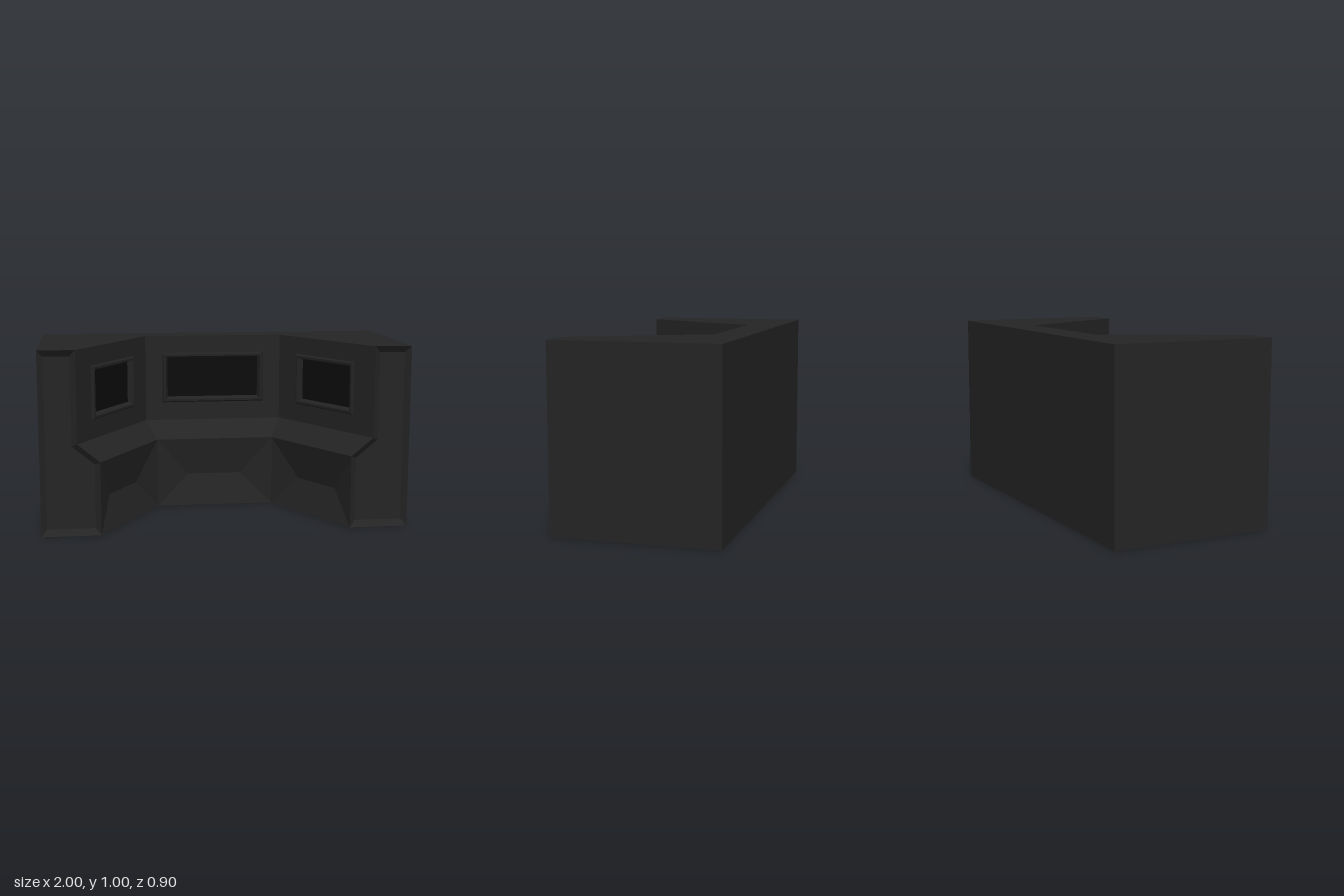
import * as THREE from 'three';

const V = (x, y, z) => new THREE.Vector3(x, y, z);

// Collects convex polygons (corners counter-clockwise from outside) into one mesh
class Faces {
  constructor() { this.p = []; }
  poly(pts) {
    for (let i = 1; i < pts.length - 1; i++) {
      const [a, b, c] = [pts[0], pts[i], pts[i + 1]];
      if (b.clone().sub(a).cross(c.clone().sub(a)).length() < 1e-7) continue;
      for (const v of [a, b, c]) this.p.push(v.x, v.y, v.z);
    }
    return this;
  }
  // strips of quads between successive rings
  loft(rings) {
    for (let r = 0; r < rings.length - 1; r++) {
      const a = rings[r], b = rings[r + 1], n = a.length;
      for (let i = 0; i < n; i++) {
        const j = (i + 1) % n;
        this.poly([a[i], a[j], b[j], b[i]]);
      }
    }
    return this;
  }
  mesh(name, color) {
    const g = new THREE.BufferGeometry();
    g.setAttribute('position', new THREE.Float32BufferAttribute(this.p, 3));
    g.computeVertexNormals();
    const m = new THREE.Mesh(g, new THREE.MeshStandardMaterial({ color, flatShading: true }));
    m.name = name;
    return m;
  }
}

const BODY = 0x242424, FRAME = 0x222222, SCREEN = 0x0c0c0c;

// Inner U outline [x, z]: upper wall and the lower, more forward wall
const UPPER = [[-0.8, 0.45], [-0.4, -0.255], [0.4, -0.255], [0.8, 0.45]];
const LOWER = [[-0.68, 0.45], [-0.34, -0.15], [0.34, -0.15], [0.68, 0.45]];
const at = ([x, z], y) => V(x, y, z);

// Flat U-shaped cap
function cap(path, y, down) {
  const f = new Faces();
  const [a, b, c, d] = path.map(p => at(p, y));
  const bl = V(-1, y, -0.45), br = V(1, y, -0.45), fl = V(-1, y, 0.45), fr = V(1, y, 0.45);
  for (const q of [[fl, a, b, bl], [bl, b, c, br], [fr, br, c, d]]) f.poly(down ? q.reverse() : q);
  return f;
}

// Rectangle on the wall p-q: along-wall range, height range, offset out of the wall
function wallRect(p, q, u0, u1, y0, y1, out = 0) {
  const o = at(p, 0), u = at(q, 0).sub(o).normalize();
  const n = u.clone().cross(V(0, 1, 0));
  return [[u0, y0], [u1, y0], [u1, y1], [u0, y1]].map(([s, y]) =>
    o.clone().addScaledVector(u, s).addScaledVector(n, out).setY(y));
}

export function createModel() {
  const group = new THREE.Group();

  // Outer shell: top, underside, back and sides
  group.add(cap(UPPER, 1, false).mesh('top', BODY));
  group.add(cap(LOWER, 0, true).mesh('underside', BODY));
  group.add(new Faces()
    .poly([V(1, 0, -0.45), V(-1, 0, -0.45), V(-1, 1, -0.45), V(1, 1, -0.45)])
    .poly([V(1, 0, 0.45), V(1, 0, -0.45), V(1, 1, -0.45), V(1, 1, 0.45)])
    .poly([V(-1, 0, -0.45), V(-1, 0, 0.45), V(-1, 1, 0.45), V(-1, 1, -0.45)])
    .mesh('outerShell', BODY));

  // Arm ends: sunken panel with a bevelled edge
  const outer = [[1, 0], [1, 1], [0.8, 1], [0.8, 0.5], [0.68, 0.4], [0.68, 0]];
  const inner = [[0.97, 0.035], [0.97, 0.965], [0.83, 0.965], [0.83, 0.485], [0.71, 0.385], [0.71, 0.035]];
  for (const s of [1, -1]) {
    const ring = (pts, z) => {
      const r = pts.map(([x, y]) => V(s * x, y, z));
      // keep the first corner as the fan centre when reversing
      return s > 0 ? r : [r[0], ...r.slice(1).reverse()];
    };
    const rings = [ring(outer, 0.45), ring(inner, 0.425)];
    group.add(new Faces().loft(rings).poly(rings[1]).mesh(s > 0 ? 'leftArmEnd' : 'rightArmEnd', BODY));
  }

  // Three inner bays, each with a screen wall, a sloped ledge and a hollow lower panel
  ['right', 'centre', 'left'].forEach((side, i) => {
    const bay = new THREE.Group();
    bay.name = side + 'Bay';
    const [p, q] = [UPPER[i], UPPER[i + 1]], [lp, lq] = [LOWER[i], LOWER[i + 1]];
    const len = Math.hypot(q[0] - p[0], q[1] - p[1]);
    const half = side === 'centre' ? 0.3 : 0.245;
    const rect = (inset, out) => wallRect(p, q, len / 2 - half + inset, len / 2 + half - inset,
      0.605 + inset, 0.9 - inset, out);

    // Screen wall around a bevelled frame and sunken screen
    bay.add(new Faces().loft([wallRect(p, q, 0, len, 0.5, 1), rect(0, 0)]).mesh('screenWall', BODY));
    bay.add(new Faces().loft([rect(0, 0), rect(0.008, 0.015), rect(0.02, 0.015), rect(0.032, -0.02)])
      .mesh('screenFrame', FRAME));
    bay.add(new Faces().poly(rect(0.032, -0.02)).mesh('screen', SCREEN));

    // Sloped ledge
    bay.add(new Faces().poly([at(lp, 0.4), at(lq, 0.4), at(q, 0.5), at(p, 0.5)]).mesh('ledge', BODY));

    // Lower panel, folded inward to a short ridge
    const ll = Math.hypot(lq[0] - lp[0], lq[1] - lp[1]);
    bay.add(new Faces().loft([
      wallRect(lp, lq, 0, ll, 0, 0.4),
      wallRect(lp, lq, ll * 0.27, ll * 0.73, 0.18, 0.18, -0.05),
    ]).mesh('lowerPanel', BODY));
    group.add(bay);
  });

  return group;
}
